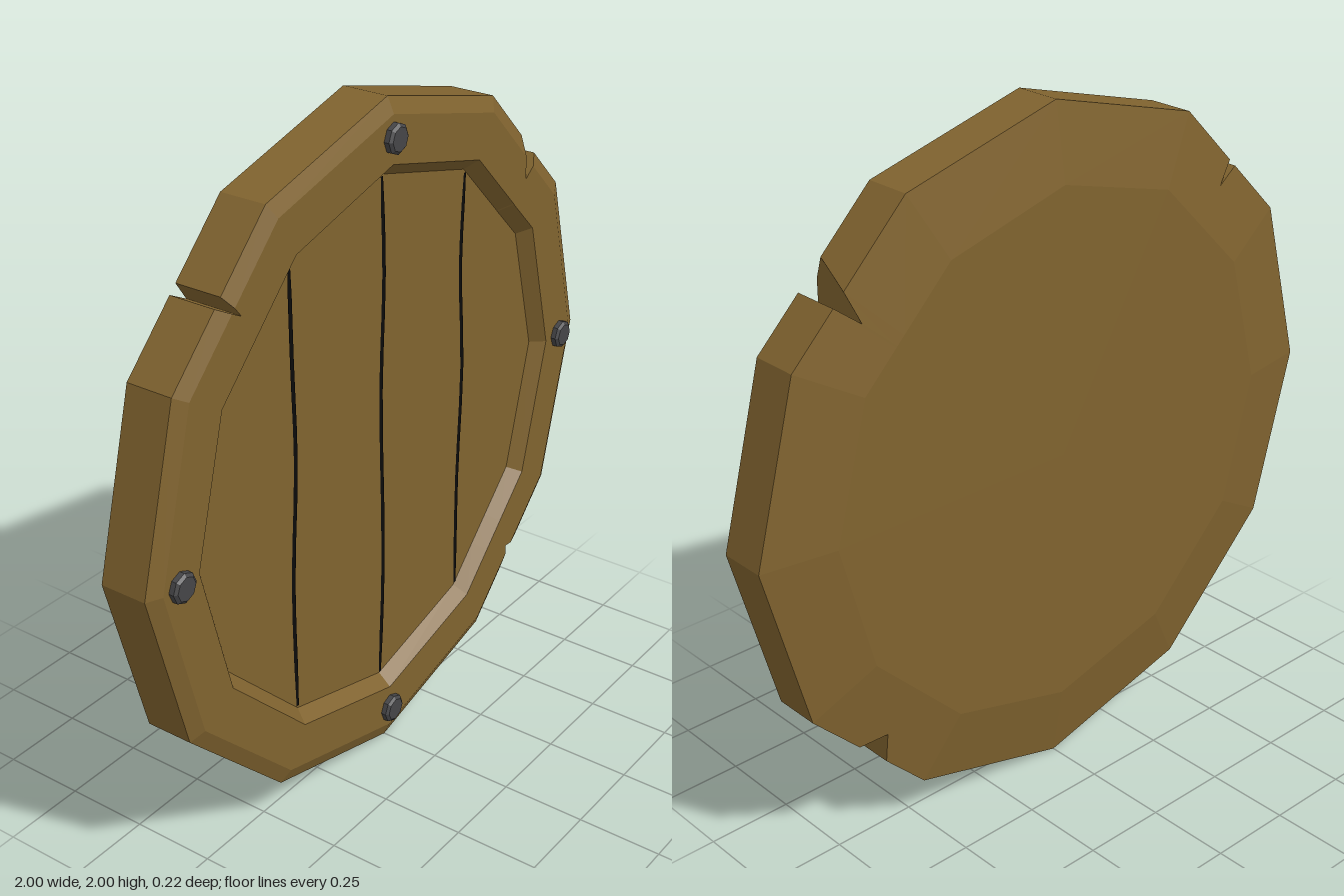
import * as THREE from 'three';

const wood = new THREE.MeshStandardMaterial({ color: 0x80632f, flatShading: true });
wood.name = 'wood';
const iron = new THREE.MeshStandardMaterial({ color: 0x454547, flatShading: true });
iron.name = 'iron';
const crackBlack = new THREE.MeshStandardMaterial({ color: 0x0a0a0a, side: THREE.DoubleSide });
crackBlack.name = 'crackBlack';

const BACK_Z = -0.11, EDGE_Z = -0.075, FRONT_Z = 0.085, PANEL_Z = 0.045;
const BACK_R = 0.78, APOTHEM = Math.cos(Math.PI / 12);

// Cuts in the rim: after which corner, then the two mouth points and the tip.
const notches = {
  1: { a: [0.733, 0.632], tip: [0.66, 0.576], b: [0.70, 0.666], bFront: [0.66, 0.706] },
  4: { a: [-0.677, 0.689], tip: [-0.626, 0.626], b: [-0.70, 0.666] },
  10: { a: [0.63, -0.736], tip: [0.63, -0.642], b: [0.718, -0.648] },
};

// One twelve-sided loop at scale s and depth z, with the cuts worked in.
function loop(s, z, front = false, slopeTips = false) {
  const pts = [];
  for (let i = 0; i < 12; i++) {
    const ang = i * Math.PI / 6;
    pts.push([s * Math.cos(ang), s * Math.sin(ang), z]);
    const n = notches[i];
    if (!n) continue;
    const mid = ang + Math.PI / 12;
    const tipS = (n.tip[0] * Math.cos(mid) + n.tip[1] * Math.sin(mid)) / APOTHEM;
    const open = s > tipS;
    const k = (s - tipS) / (1 - tipS);
    const mouth = (p) => open
      ? [n.tip[0] + (p[0] - n.tip[0]) * k, n.tip[1] + (p[1] - n.tip[1]) * k, z]
      : [p[0] * s, p[1] * s, z];
    const f = open ? 1 : s / tipS;
    const tipZ = slopeTips ? BACK_Z + (EDGE_Z - BACK_Z) * (tipS - BACK_R) / (1 - BACK_R) : z;
    pts.push(mouth(n.a), [n.tip[0] * f, n.tip[1] * f, tipZ], mouth(front && n.bFront ? n.bFront : n.b));
  }
  return pts;
}

// Skin between successive loops, ordered from back to front.
function loft(name, loops) {
  const pos = [], index = [], count = loops[0].length;
  loops.forEach((l) => l.forEach((p) => pos.push(...p)));
  for (let l = 0; l < loops.length - 1; l++) {
    for (let j = 0; j < count; j++) {
      const a = l * count + j, b = l * count + (j + 1) % count;
      index.push(a, b, b + count, a, b + count, a + count);
    }
  }
  const geo = new THREE.BufferGeometry();
  geo.setAttribute('position', new THREE.Float32BufferAttribute(pos, 3));
  geo.setIndex(index);
  const flat = geo.toNonIndexed();
  flat.computeVertexNormals();
  const mesh = new THREE.Mesh(flat, wood);
  mesh.name = name;
  return mesh;
}

// Flat twelve-sided face.
function face(name, r, z, toBack) {
  const geo = new THREE.CircleGeometry(r, 12);
  if (toBack) geo.rotateY(Math.PI);
  const mesh = new THREE.Mesh(geo, wood);
  mesh.position.z = z;
  mesh.name = name;
  return mesh;
}

// Thin wavy gap between two planks, tapering at the ends.
function crack(points) {
  const curve = new THREE.CatmullRomCurve3(points.map(([x, y]) => new THREE.Vector3(x, y, 0)));
  const path = curve.getPoints(12);
  const half = (i) => (i === 0 || i === path.length - 1 ? 0.005 : 0.008);
  const shape = new THREE.Shape([
    ...path.map((p, i) => new THREE.Vector2(p.x - half(i), p.y)),
    ...path.map((p, i) => new THREE.Vector2(p.x + half(i), p.y)).reverse(),
  ]);
  const mesh = new THREE.Mesh(new THREE.ShapeGeometry(shape), crackBlack);
  mesh.position.z = PANEL_Z + 0.003;
  mesh.name = 'plankGap';
  return mesh;
}

export function createModel() {
  const model = new THREE.Group();
  model.name = 'roundShield';
  const shield = new THREE.Group();
  shield.name = 'shield';
  shield.position.y = 1;
  model.add(shield);

  // Wooden body: sloped back, notched edge, raised frame and sunken panel
  const outerBack = loop(1, EDGE_Z, false, true);
  const outerFront = loop(1, 0.065, true);
  const bevel = loop(0.955, FRONT_Z, true);
  shield.add(
    face('backBoard', BACK_R, BACK_Z, true),
    loft('backSlope', [loop(BACK_R, BACK_Z), outerBack]),
    loft('rimEdge', [outerBack, outerFront, bevel]),
    loft('frontFrame', [bevel, loop(0.82, FRONT_Z), loop(0.785, PANEL_Z)]),
    face('plankPanel', 0.785, PANEL_Z, false),
  );

  // Gaps between the planks
  const gaps = [
    [[-0.395, 0.67], [-0.39, 0.4], [-0.382, 0.1], [-0.402, -0.27], [-0.395, -0.67]],
    [[0, 0.78], [0.012, 0.5], [0, 0.15], [0.014, -0.4], [0, -0.78]],
    [[0.395, 0.67], [0.384, 0.4], [0.405, 0.07], [0.392, -0.3], [0.395, -0.67]],
  ];
  gaps.forEach((g) => shield.add(crack(g)));

  // Iron studs on the frame
  const studGeo = new THREE.LatheGeometry([
    new THREE.Vector2(0.043, 0), new THREE.Vector2(0.043, 0.016),
    new THREE.Vector2(0.034, 0.023), new THREE.Vector2(0, 0.023),
  ], 8);
  studGeo.rotateX(Math.PI / 2);
  for (let i = 0; i < 4; i++) {
    const stud = new THREE.Mesh(studGeo, iron);
    const ang = i * Math.PI / 2;
    stud.position.set(0.892 * Math.cos(ang), 0.892 * Math.sin(ang), FRONT_Z - 0.001);
    stud.name = 'stud';
    shield.add(stud);
  }
  return model;
}
